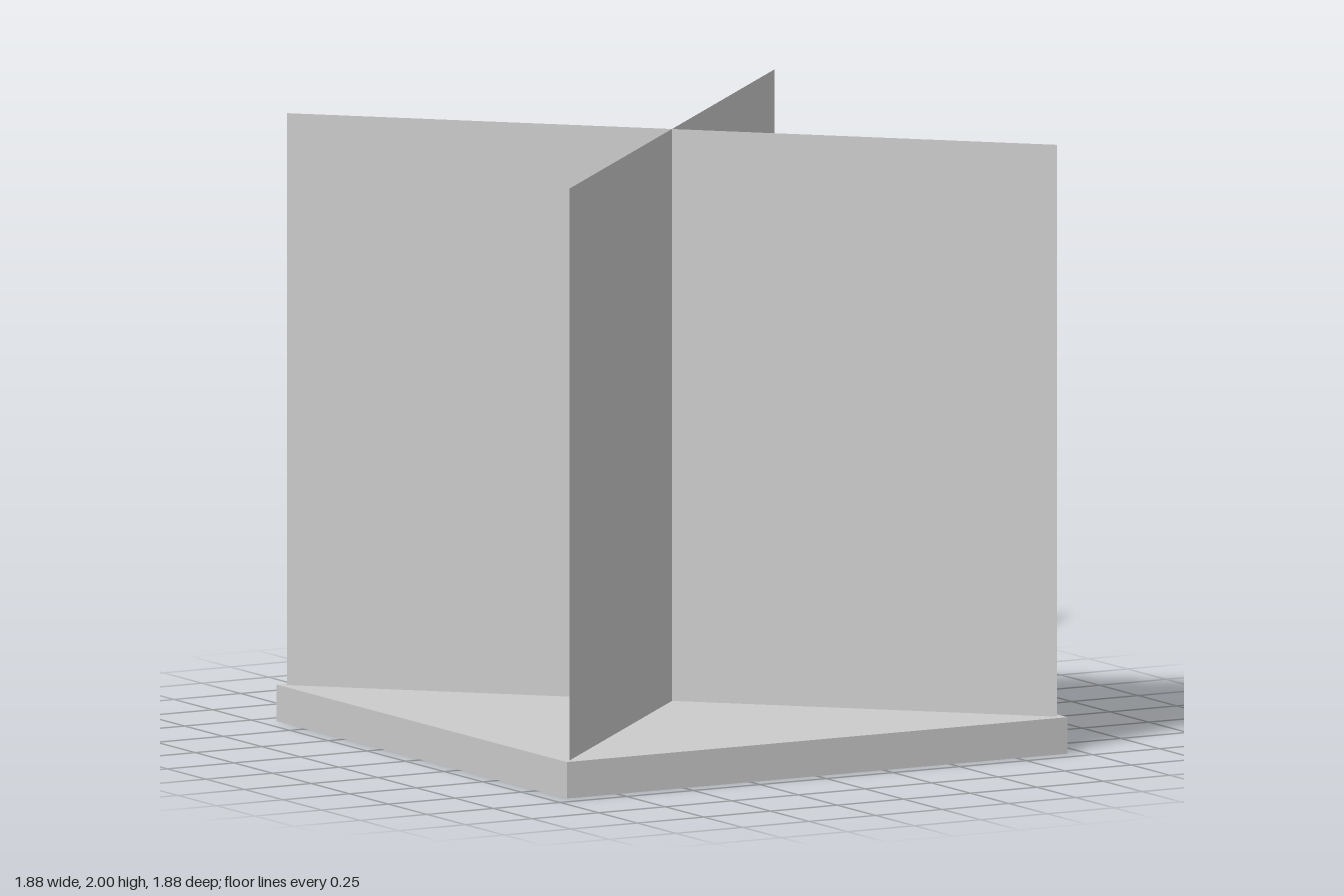
import * as THREE from 'three';

export function createModel() {
  const group = new THREE.Group();
  const baseHeight = 0.12, baseWidth = 1.88;
  const panelHeight = 2 - baseHeight, panelReach = 0.915;

  // Square slab
  const base = new THREE.Mesh(
    new THREE.BoxGeometry(baseWidth, baseHeight, baseWidth),
    new THREE.MeshStandardMaterial({ color: 0xcccccc })
  );
  base.name = 'base';
  base.position.y = baseHeight / 2;
  group.add(base);

  // Two thin upright panels crossing along the diagonals
  const panelMaterial = new THREE.MeshStandardMaterial({ color: 0xcccccc, side: THREE.DoubleSide });
  const panelGeometry = new THREE.PlaneGeometry(2 * panelReach * Math.SQRT2, panelHeight);
  for (const [name, side] of [['diagonalPanelA', 1], ['diagonalPanelB', -1]]) {
    const panel = new THREE.Mesh(panelGeometry, panelMaterial);
    panel.name = name;
    panel.position.y = baseHeight + panelHeight / 2;
    panel.rotation.y = side * Math.PI / 4;
    group.add(panel);
  }
  return group;
}
